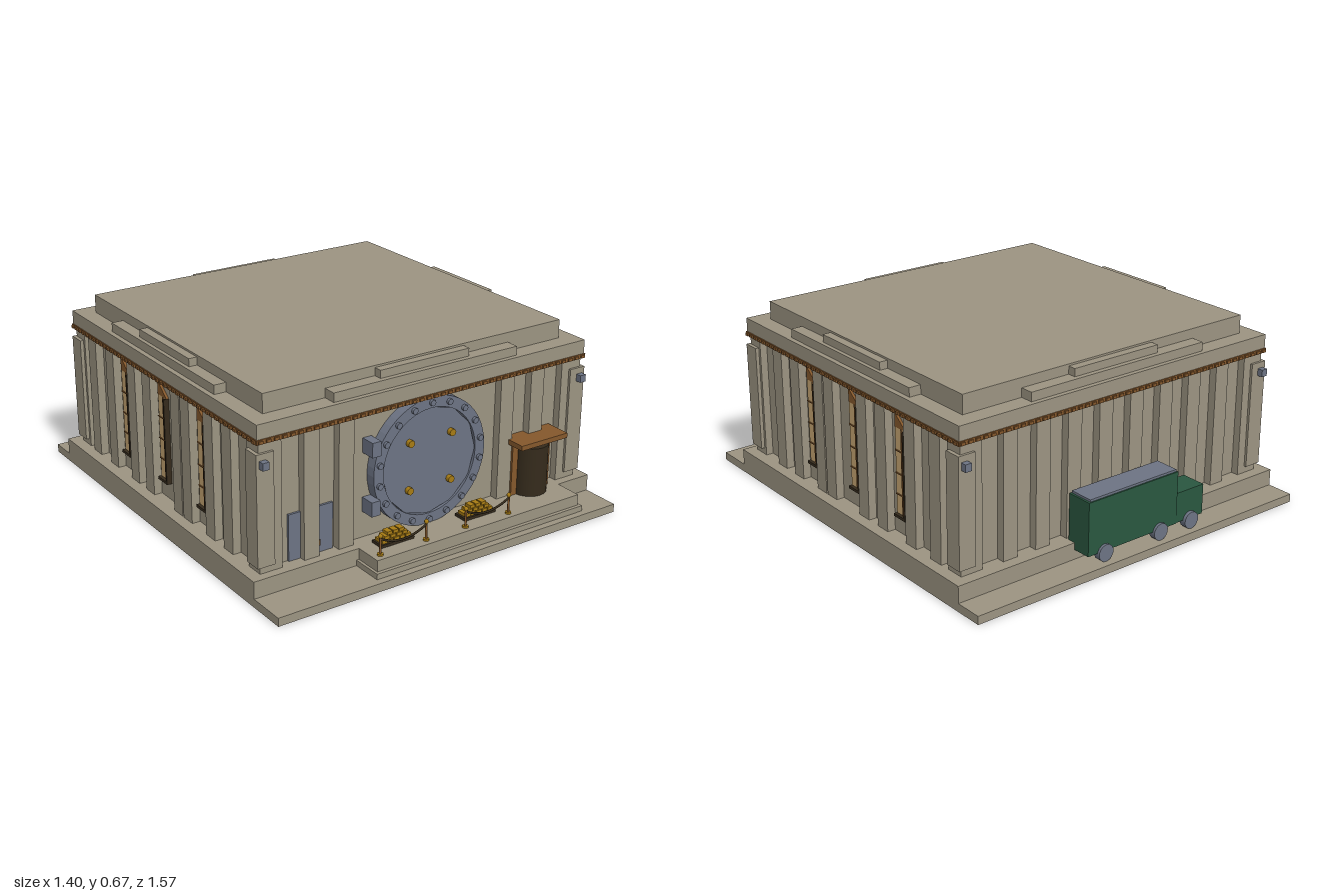
import * as THREE from 'three';

const mat = (name, color, side = THREE.FrontSide) => {
  const m = new THREE.MeshStandardMaterial({ color, side });
  m.name = name;
  return m;
};

export function createModel() {
  const root = new THREE.Group();
  root.name = 'bank';
  const stone = mat('stone', 0x9c9482);
  const steel = mat('steel', 0x6d7484);
  const bronze = mat('bronze', 0x85582c);
  const gold = mat('gold', 0xa87c14);
  const dark = mat('dark wood', 0x352b1c);
  const glass = mat('warm glass', 0xc9a873);
  const green = mat('truck green', 0x2a5740);

  const add = (name, geo, m, parent = root) => {
    const mesh = new THREE.Mesh(geo, m);
    mesh.name = name;
    parent.add(mesh);
    return mesh;
  };
  // box given by its limits on each axis
  const box = (name, m, x0, x1, y0, y1, z0, z1, parent = root) => {
    const b = add(name, new THREE.BoxGeometry(x1 - x0, y1 - y0, z1 - z0), m, parent);
    b.position.set((x0 + x1) / 2, (y0 + y1) / 2, (z0 + z1) / 2);
    return b;
  };
  // cylinder whose axis runs along z
  const disc = (name, m, r, depth, x, y, z, sides, parent = root) => {
    const c = add(name, new THREE.CylinderGeometry(r, r, depth, sides).rotateX(Math.PI / 2), m, parent);
    c.position.set(x, y, z);
    return c;
  };

  // Base and entrance steps
  box('baseSlab', stone, -0.7, 0.7, 0, 0.03, -0.77, 0.8);
  box('plinth', stone, -0.7, 0.7, 0.03, 0.09, -0.67, 0.66);
  box('lowerStep', stone, -0.31, 0.57, 0.03, 0.05, 0.66, 0.775);
  box('upperStep', stone, -0.3, 0.56, 0.05, 0.09, 0.66, 0.762);

  // Hall and corner piers with raised panels
  box('hall', stone, -0.63, 0.63, 0.09, 0.535, -0.6, 0.6);
  for (const sx of [-1, 1]) for (const sz of [-1, 1]) {
    const corner = new THREE.Group();
    corner.name = 'corner';
    corner.position.set(sx * 0.615, 0, sz * 0.595);
    root.add(corner);
    box('pier', stone, -0.042, 0.042, 0.09, 0.535, -0.033, 0.033, corner);
    const px = sx * 0.023, pz = sz * 0.01;
    box('pierPanel', stone, px - 0.032, px + 0.032, 0.115, 0.505, pz - 0.032, pz + 0.032, corner);
    box('cornerLamp', steel, sx * 0.032 - 0.012, sx * 0.032 + 0.012, 0.457, 0.483,
      sz * 0.05 - 0.013, sz * 0.05 + 0.013, corner);
  }

  // Pilasters on all four sides
  const w = 0.029;
  for (const x of [-0.463, -0.33, 0.33, 0.463])
    box('frontPilaster', stone, x - w, x + w, 0.09, 0.535, 0.59, 0.63);
  for (const x of [-0.463, -0.33, -0.2, -0.067, 0.067, 0.2, 0.33, 0.463])
    box('backPilaster', stone, x - w, x + w, 0.09, 0.535, -0.63, -0.59);
  for (const s of [-1, 1])
    for (const z of [0.44, 0.326, 0.175, 0.11, -0.09, -0.2, -0.362, -0.498])
      box('sidePilaster', stone, s * 0.64 - 0.02, s * 0.64 + 0.02, 0.09, 0.535, z - w, z + w);

  // Tall side windows with glazing bars and a sloped head
  for (const s of [-1, 1]) for (const z of [0.25, -0.015, -0.285]) {
    const win = new THREE.Group();
    win.name = 'window';
    win.position.set(s * 0.63, 0, z);
    win.rotation.y = s * Math.PI / 2;
    root.add(win);
    box('glass', glass, -0.03, 0.024, 0.165, 0.47, 0, 0.008, win);
    for (const y of [0.235, 0.31, 0.39])
      box('glazingBar', bronze, -0.03, 0.024, y - 0.002, y + 0.002, 0, 0.011, win);
    box('glazingPost', bronze, 0.004, 0.008, 0.165, 0.47, 0, 0.011, win);
    box('jamb', dark, 0.024, 0.031, 0.155, 0.47, 0, 0.02, win);
    box('sill', dark, -0.031, 0.031, 0.155, 0.165, 0, 0.02, win);
    const tri = new THREE.Shape([[-0.03, 0.47], [0.031, 0.47], [-0.03, 0.52]].map(p => new THREE.Vector2(...p)));
    add('windowHead', new THREE.ExtrudeGeometry(tri, { depth: 0.009, bevelEnabled: false }), bronze, win);
  }

  // Bronze cornice with small teeth
  box('corniceBand', bronze, -0.668, 0.668, 0.537, 0.553, -0.638, 0.638);
  for (let i = 0; i < 46; i++) {
    const t = (i - 22.5) / 22.5;
    for (const s of [-1, 1]) {
      box('corniceTooth', bronze, t * 0.655 - 0.008, t * 0.655 + 0.008, 0.54, 0.55, s * 0.64 - 0.004, s * 0.64 + 0.004);
      box('corniceTooth', bronze, s * 0.67 - 0.004, s * 0.67 + 0.004, 0.54, 0.55, t * 0.625 - 0.008, t * 0.625 + 0.008);
    }
  }

  // Stepped roof and parapet blocks
  box('parapet', stone, -0.665, 0.665, 0.553, 0.603, -0.635, 0.635);
  box('roof', stone, -0.603, 0.603, 0.603, 0.67, -0.57, 0.57);
  for (const s of [-1, 1]) {
    box('lowBlock', stone, -0.372, 0.372, 0.603, 0.635, s * 0.59 - 0.028, s * 0.59 + 0.028);
    box('highBlock', stone, -0.18, 0.18, 0.63, 0.663, s * 0.58 - 0.02, s * 0.58 + 0.02);
    box('lowSideBlock', stone, s * 0.62 - 0.027, s * 0.62 + 0.027, 0.603, 0.635, -0.353, 0.353);
    box('highSideBlock', stone, s * 0.61 - 0.023, s * 0.61 + 0.023, 0.63, 0.663, -0.17, 0.17);
  }

  // Round vault door: rim, bolts, leaf, knobs and hinges
  const vault = new THREE.Group();
  vault.name = 'vaultDoor';
  vault.position.set(0, 0.315, 0.6);
  root.add(vault);
  const rim = new THREE.Shape().absarc(0, 0, 0.229, 0, Math.PI * 2);
  rim.holes.push(new THREE.Path().absarc(0, 0, 0.19, 0, Math.PI * 2, true));
  add('vaultRim', new THREE.ExtrudeGeometry(rim, { depth: 0.038, bevelEnabled: false, curveSegments: 24 }), steel, vault);
  disc('vaultLeaf', steel, 0.192, 0.034, 0, 0, 0.015, 12, vault);
  for (let i = 0; i < 18; i++) {
    const a = (i + 0.5) / 18 * Math.PI * 2;
    disc('rimBolt', steel, 0.011, 0.012, Math.cos(a) * 0.21, Math.sin(a) * 0.21, 0.042, 8, vault);
  }
  for (const x of [-0.085, 0.085]) for (const y of [-0.085, 0.085])
    disc('vaultKnob', gold, 0.013, 0.02, x, y, 0.038, 8, vault);
  for (const y of [0.105, -0.105])
    box('hinge', steel, -0.247, -0.213, y - 0.026, y + 0.026, 0, 0.055, vault);

  // Steel side door behind a pilaster
  box('serviceDoor', steel, -0.537, -0.368, 0.09, 0.255, 0.6, 0.608);
  box('serviceHandle', bronze, -0.435, -0.424, 0.12, 0.14, 0.605, 0.62);

  // Revolving door with canopy
  box('revolvingDoorFrame', bronze, 0.36, 0.53, 0.09, 0.286, 0.6, 0.637);
  const drum = add('revolvingDoor', new THREE.CylinderGeometry(0.064, 0.064, 0.18, 20), dark);
  drum.position.set(0.447, 0.18, 0.628);
  box('canopy', bronze, 0.345, 0.55, 0.286, 0.304, 0.6, 0.7);

  // Stacks of gold bars on pallets
  for (const cx of [-0.175, 0.17]) {
    box('pallet', dark, cx - 0.066, cx + 0.066, 0.09, 0.1, 0.65, 0.703);
    for (let row = 0; row < 3; row++) for (let i = 0; i < 5 - row; i++) {
      const x = cx + (i - (4 - row) / 2) * 0.024;
      const d = 0.02 - row * 0.003;
      box('goldBar', gold, x - 0.01, x + 0.01, 0.1 + row * 0.012, 0.111 + row * 0.012, 0.676 - d, 0.676 + d);
    }
  }

  // Rope barriers
  for (const [a, b] of [[-0.27, -0.085], [0.08, 0.265]]) {
    for (const x of [a, b]) {
      add('post', new THREE.CylinderGeometry(0.004, 0.004, 0.07, 8), bronze).position.set(x, 0.125, 0.735);
      add('postFoot', new THREE.CylinderGeometry(0.011, 0.011, 0.006, 10), gold).position.set(x, 0.093, 0.735);
      add('postCap', new THREE.SphereGeometry(0.008, 8, 6), gold).position.set(x, 0.158, 0.735);
    }
    const rope = new THREE.QuadraticBezierCurve3(new THREE.Vector3(a, 0.148, 0.735),
      new THREE.Vector3((a + b) / 2, 0.095, 0.735), new THREE.Vector3(b, 0.148, 0.735));
    add('rope', new THREE.TubeGeometry(rope, 12, 0.004, 6), dark);
  }

  // Armoured truck behind the building
  const truck = new THREE.Group();
  truck.name = 'truck';
  root.add(truck);
  box('cargoBox', green, -0.165, 0.228, 0.065, 0.257, -0.737, -0.64, truck);
  box('cargoRoof', steel, -0.16, 0.22, 0.257, 0.265, -0.732, -0.642, truck);
  box('cab', green, -0.29, -0.165, 0.065, 0.175, -0.734, -0.64, truck);
  for (const x of [-0.23, -0.088, 0.157]) for (const z of [-0.733, -0.65])
    disc('wheel', steel, 0.031, 0.026, x, 0.061, z, 14, truck);

  return root;
}
